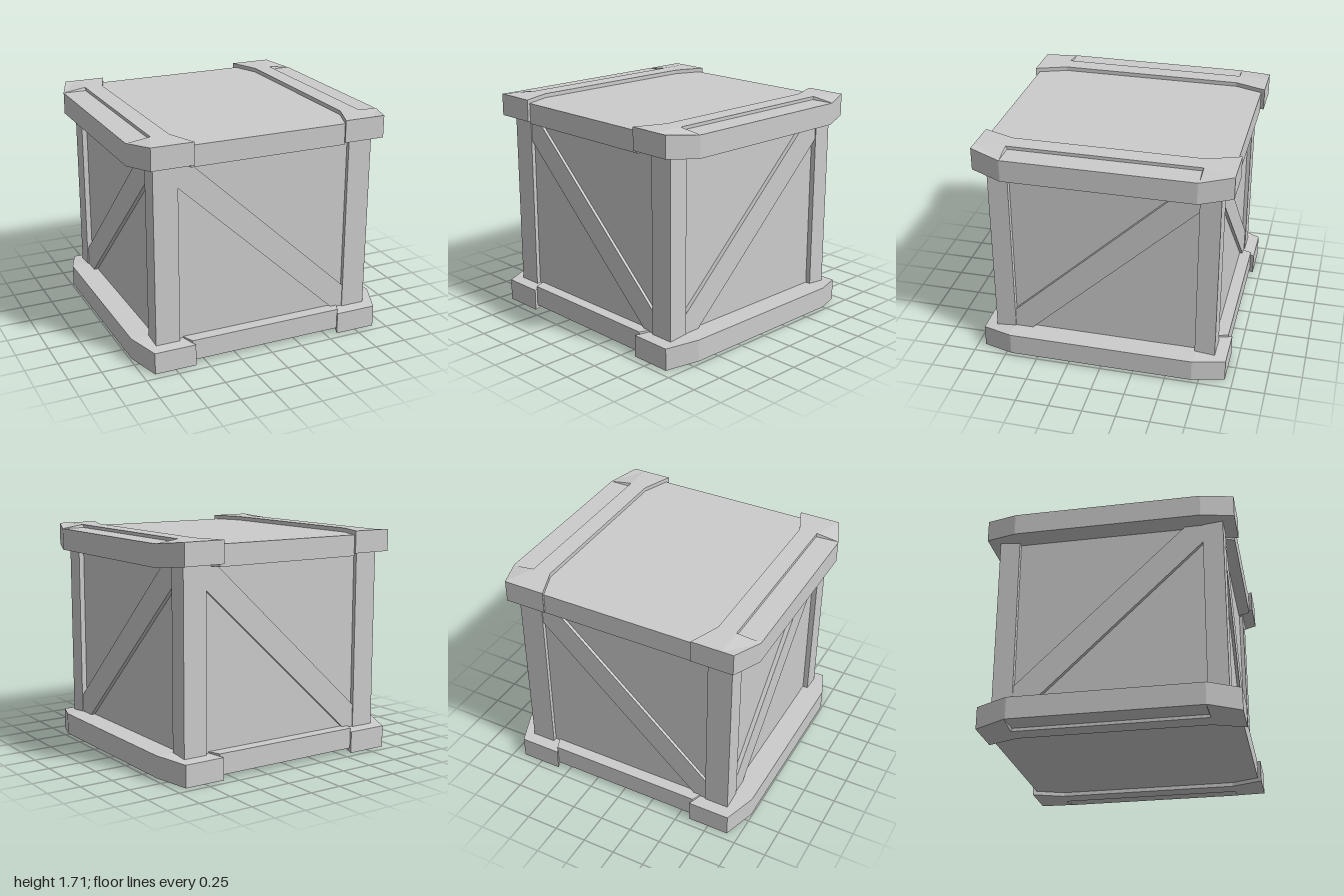
import * as THREE from 'three';

const MID = 0.853; // half of the crate height
const mat = new THREE.MeshStandardMaterial({ color: 0xcccccc, flatShading: true });

function add(parent, name, geometry, x = 0, y = 0, z = 0) {
  const mesh = new THREE.Mesh(geometry, mat);
  mesh.name = name;
  mesh.position.set(x, y, z);
  parent.add(mesh);
  return mesh;
}

function polygon(points) {
  return new THREE.Shape(points.map(([x, y]) => new THREE.Vector2(x, y)));
}

// Skin a run of equal-length cross-sections (counter-clockwise in xy, z rising), capped at both ends
function loft(sections) {
  const pos = [];
  const tri = (...corners) => corners.forEach((c) => pos.push(...c));
  const n = sections[0].length;
  for (let i = 0; i < sections.length - 1; i++) {
    const s = sections[i], t = sections[i + 1];
    for (let j = 0; j < n; j++) {
      const k = (j + 1) % n;
      tri(s[j], s[k], t[k]);
      tri(s[j], t[k], t[j]);
    }
  }
  const first = sections[0], last = sections[sections.length - 1];
  for (let j = 1; j < n - 1; j++) {
    tri(first[0], first[j + 1], first[j]);
    tri(last[0], last[j], last[j + 1]);
  }
  const g = new THREE.BufferGeometry();
  g.setAttribute('position', new THREE.Float32BufferAttribute(pos, 3));
  g.computeVertexNormals();
  return g;
}

// Side rail: stepped top along the middle, ends bent inwards and raised
function railGeometry() {
  const section = (z, inner, outer, low, high, step) => [
    [inner, low], [outer, low], [outer, high], [0.82, step], [0.82, MID], [inner, MID],
  ].map(([x, y]) => [x, y, z]);
  const low = 0.664, high = 0.829;
  const half = [
    [0.7, 0.68, 1, low, high, high],
    [0.71, 0.677, 0.997, low, high, MID],
    [0.94, 0.59, 0.91, low + 0.022, MID, MID],
  ];
  const back = half.map(([z, ...rest]) => section(-z, ...rest)).reverse();
  const front = half.map((args) => section(...args));
  return loft([...back, ...front]);
}

// Diagonal brace filling two opposite corners of a wall panel
function braceGeometry(w, cut, rise) {
  const h = 0.674;
  return new THREE.ExtrudeGeometry(polygon([
    [-w, h], [-w, h - rise], [w - cut, -h], [w, -h], [w, -h + rise], [-w + cut, h],
  ]), { depth: 0.06, bevelEnabled: false });
}

export function createModel() {
  const crate = new THREE.Group();
  crate.name = 'crate';
  const body = new THREE.Group();
  body.name = 'crateBody';
  body.position.y = MID;
  crate.add(body);

  add(body, 'wallPanels', new THREE.BoxGeometry(1.65, 1.5, 1.64));

  // Corner posts
  const post = new THREE.BoxGeometry(0.187, 1.5, 0.152);
  for (const sx of [-1, 1]) {
    for (const sz of [-1, 1]) {
      add(body, (sz > 0 ? 'front' : 'back') + (sx > 0 ? 'Left' : 'Right') + 'Post', post, sx * 0.7715, 0, sz * 0.774);
    }
  }

  // Lid and base, with ends narrowed to meet the rails
  const slab = new THREE.ExtrudeGeometry(polygon([
    [0.69, -0.7], [0.69, 0.7], [0.605, 0.912], [-0.605, 0.912],
    [-0.69, 0.7], [-0.69, -0.7], [-0.605, -0.912], [0.605, -0.912],
  ]), { depth: 0.158, bevelEnabled: false });
  slab.rotateX(-Math.PI / 2);
  add(body, 'lid', slab, 0, 0.664, 0);
  add(body, 'base', slab, 0, -0.822, 0);

  // Rails: one shape turned into the four places
  const rail = railGeometry();
  for (const [name, rx, ry] of [
    ['topLeftRail', 0, 0], ['topRightRail', 0, Math.PI],
    ['bottomLeftRail', Math.PI, 0], ['bottomRightRail', Math.PI, Math.PI],
  ]) {
    add(body, name, rail).rotation.set(rx, ry, 0);
  }

  // Braces: the side pair runs the opposite way to the front and back pair
  const endBrace = braceGeometry(0.68, 0.09, 0.17);
  endBrace.translate(0, 0, 0.783);
  const sideBrace = braceGeometry(0.7, 0.125, 0.15);
  sideBrace.rotateZ(Math.PI).rotateY(Math.PI); // flip the diagonal
  sideBrace.translate(0, 0, 0.857);
  sideBrace.rotateY(Math.PI / 2);
  add(body, 'frontBrace', endBrace);
  add(body, 'backBrace', endBrace).rotation.y = Math.PI;
  add(body, 'leftBrace', sideBrace);
  add(body, 'rightBrace', sideBrace).rotation.y = Math.PI;

  return crate;
}
